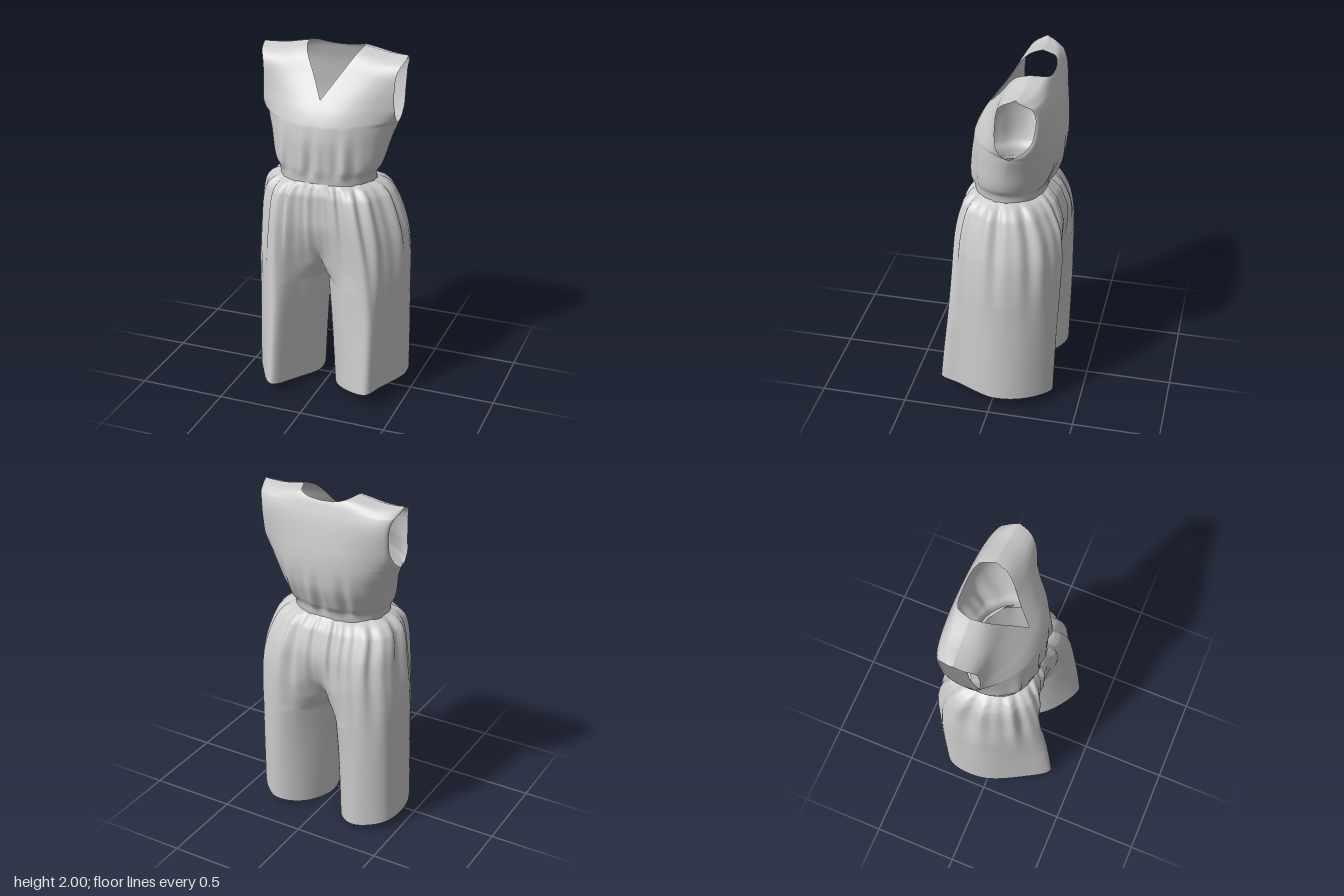
import * as THREE from 'three';
import { mergeGeometries, mergeVertices } from 'three/addons/utils/BufferGeometryUtils.js';

const cloth = new THREE.MeshStandardMaterial({ color: 0xcccccc, side: THREE.DoubleSide });
const { smoothstep, clamp, lerp } = THREE.MathUtils;

// Bodice, per height: y, half width, armhole front z, armhole back z, chest z, back z
const BODICE = [
  [1.25, .275, -.03, -.03, .168, -.235],
  [1.31, .282, -.03, -.03, .174, -.245],
  [1.36, .31, -.04, -.04, .18, -.272],
  [1.5, .35, -.07, -.07, .183, -.322],
  [1.6, .386, -.09, -.09, .172, -.331],
  [1.625, .391, -.05, -.13, .164, -.331],
  [1.68, .39, -.02, -.19, .138, -.328],
  [1.74, .385, -.015, -.22, .096, -.32],
  [1.85, .388, -.022, -.235, .012, -.3],
  [1.93, .405, -.05, -.215, -.042, -.275],
  [1.965, .418, -.08, -.175, -.075, -.26],
  [1.985, .424, -.11, -.15, -.11, -.24],
  [2.0, .426, -.135, -.135, -.16, -.16],
];

// Trouser half, per height: y, half width, inner x, then z of the centre front,
// inner front, front fold, back fold, inner back and centre back
const TROUSERS = [
  [0, .458, .05, -.04, .18, .345, -.335, -.25, -.04],
  [.4, .455, .022, -.04, .18, .31, -.345, -.27, -.04],
  [.66, .452, .002, -.04, .18, .282, -.35, -.3, -.04],
  [.71, .452, 0, .02, .182, .276, -.35, -.31, -.12],
  [.78, .45, 0, .095, .187, .268, -.35, -.325, -.21],
  [.9, .44, 0, .165, .2, .256, -.348, -.34, -.295],
  [1.05, .415, 0, .2, .213, .24, -.33, -.338, -.33],
  [1.2, .375, 0, .2, .205, .205, -.27, -.295, -.295],
  [1.25, .335, 0, .185, .185, .17, -.23, -.255, -.26],
  [1.278, .28, 0, .17, .17, .13, -.175, -.22, -.235],
];

// Smooth, overshoot-free interpolation of a table row at height y
function rowAt(table, y) {
  let i = 0;
  while (i < table.length - 2 && y > table[i + 1][0]) i++;
  const h = table[i + 1][0] - table[i][0], t = (y - table[i][0]) / h;
  const secant = (k, c) => (table[k + 1][c] - table[k][c]) / (table[k + 1][0] - table[k][0]);
  const tangent = (k, c) => {
    if (k === 0) return secant(0, c);
    if (k === table.length - 1) return secant(k - 1, c);
    const a = secant(k - 1, c), b = secant(k, c);
    return a * b <= 0 ? 0 : 2 * a * b / (a + b);
  };
  return table[i].map((p, c) => {
    const q = table[i + 1][c], t2 = t * t, t3 = t2 * t;
    return (2 * t3 - 3 * t2 + 1) * p + (t3 - 2 * t2 + t) * h * tangent(i, c)
      + (3 * t2 - 2 * t3) * q + (t3 - t2) * h * tangent(i + 1, c);
  });
}

// Heights for a loft, with every table interval subdivided evenly
function heights(table, step) {
  const ys = [table[0][0]];
  for (let i = 1; i < table.length; i++) {
    const a = table[i - 1][0], b = table[i][0], n = Math.max(6, Math.ceil((b - a) / step));
    for (let k = 1; k <= n; k++) ys.push(lerp(a, b, k / n));
  }
  return ys;
}

// Skin a list of point rows
function skin(rows, flip) {
  const w = rows[0].length, index = [];
  for (let j = 0; j < rows.length - 1; j++) {
    for (let i = 0; i < w - 1; i++) {
      const a = j * w + i, b = a + 1, c = a + w, d = c + 1;
      index.push(...(flip ? [a, c, b, b, c, d] : [a, b, c, b, d, c]));
    }
  }
  const g = new THREE.BufferGeometry();
  g.setAttribute('position', new THREE.Float32BufferAttribute(rows.flat(2), 3));
  g.setIndex(index);
  return g;
}

function weld(parts, name) {
  const g = mergeVertices(mergeGeometries(parts), 1e-4);
  g.computeVertexNormals();
  const mesh = new THREE.Mesh(g, cloth);
  mesh.name = name;
  return mesh;
}

// One quarter of the bodice: side +1 left / -1 right, front or back
function bodicePanel(side, front) {
  const rows = heights(BODICE, .015).map((y) => {
    const [, xe, armF, armB, zF, zB] = rowAt(BODICE, y);
    const zArm = front ? armF : armB, zc = front ? zF : zB;
    const neck = front
      ? .165 * clamp((y - 1.74) / .26, 0, 1)
      : .165 * clamp((y - 1.965) / .035, 0, 1) ** .4;
    const gather = .01 * smoothstep(y, 1.28, 1.37) * (1 - smoothstep(y, 1.36, 1.64));
    // the chest tapers towards the armholes, waist and shoulder seam are rounder
    const taper = smoothstep(y, 1.35, 1.68) * (1 - smoothstep(y, 1.93, 2));
    const power = lerp(.5, front ? .8 : .45, taper);
    const row = [];
    for (let i = 0; i <= 40; i++) {
      const s0 = neck / xe, s = s0 + (1 - s0) * Math.sin(i / 40 * Math.PI / 2);
      const x = side * s * xe, bulge = Math.max(0, 1 - s ** 2.4) ** power;
      // near the underarm the armhole opening only affects the cloth beside it
      const ze = lerp((armF + armB) / 2, zArm, lerp(s ** 5, 1, smoothstep(y, 1.6, 1.9)));
      const fold = gather * (1 - s ** 4) * (Math.sin(48 * x + (front ? 0 : 2)) + .6 * Math.sin(81 * x + 1));
      row.push([
        x - .03,
        y - .026 * smoothstep(s, .3, .8) * smoothstep(y, 1.88, 2),
        ze + (zc - ze) * bulge + fold,
      ]);
    }
    return row;
  });
  return skin(rows, (side > 0) !== front);
}

// One half of the trousers: open along the centre line above the crotch, a closed leg below
function trouserHalf(side) {
  const left = side > 0;
  const rows = heights(TROUSERS, .025).map((y) => {
    const [, w, xin, zfc, z1, zf, zb, z7, zbc] = rowAt(TROUSERS, y);
    // the two legs drape differently, more so towards the hem
    const drape = 1 - smoothstep(y, .4, 1.22);
    const peakX = lerp(.57, left ? .7 : .5, drape), peakZ = zf + (left ? -.022 : .01) * drape;
    const outerX = lerp(.83, left ? .84 : .76, drape);
    const outline = [[xin, zfc], [.28 * w, z1], [peakX * w, peakZ], [outerX * w, .6 * peakZ], [w, -.02],
      [(left ? .91 : .96) * w, (left ? .6 : .72) * zb], [.6 * w, zb], [.27 * w, z7], [xin, zbc]];
    // end tangents: round the inner leg below the crotch, cross the centre line above it
    const open = smoothstep(y, .66, .88);
    const [, a, , , , , , b] = outline;
    const before = [lerp(b[0], -a[0], open), lerp(b[1], a[1], open)];
    const after = [lerp(a[0], -b[0], open), lerp(a[1], b[1], open)];
    const curve = new THREE.CatmullRomCurve3(
      [before, ...outline, after].map(([x, z]) => new THREE.Vector3(x, 0, z)), false, 'catmullrom', .5);
    const gather = .028 * smoothstep(y, .3, 1.23) ** 2 * (1 - .6 * smoothstep(y, 1.25, 1.278));
    const low = 1 - smoothstep(y, .95, 1.27);
    const row = [];
    for (let i = 0; i <= 112; i++) {
      const t = i / 112, p = curve.getPoint(.1 + .8 * t);
      // gathered folds that fade towards the hem
      const fold = 1 + gather * Math.min(1, 6 * Math.sin(Math.PI * t))
        * (Math.sin(56 * t + side) + .7 * Math.sin(93 * t + 2 * side));
      // hem rises to the outside and the front
      const hem = (left ? .19 : .14) * (p.x - .05) + .1 * Math.max(0, p.z);
      row.push([
        side * p.x * fold + lerp(-.025, 0, low * clamp(p.x / w, 0, 1)),
        y + Math.max(0, hem) * (1 - smoothstep(y, 0, .6)),
        (p.z + .04) * fold - .04,
      ]);
    }
    return row;
  });
  return skin(rows, !left);
}

export function createModel() {
  const group = new THREE.Group();
  group.name = 'jumpsuit';
  const panels = [];
  for (const side of [1, -1]) for (const front of [true, false]) panels.push(bodicePanel(side, front));
  group.add(weld(panels, 'bodice'));
  group.add(weld([trouserHalf(1), trouserHalf(-1)], 'trousers'));
  return group;
}
